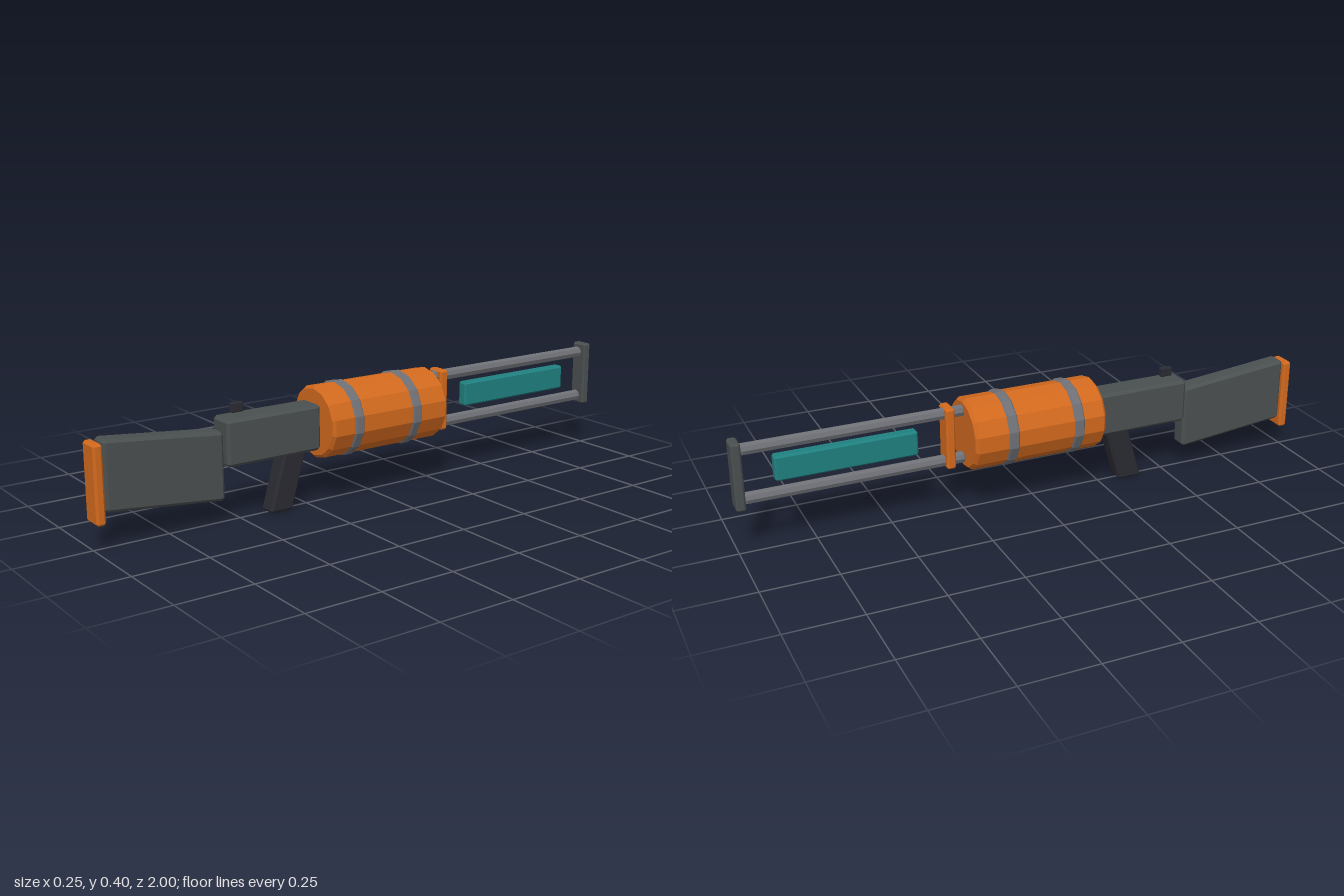
import * as THREE from 'three';
import { ConvexGeometry } from 'three/addons/geometries/ConvexGeometry.js';

const paint = (name, color) => {
  const m = new THREE.MeshStandardMaterial({ color, flatShading: true });
  m.name = name;
  return m;
};

// Box with chamfered edges; shear(y, z) may shift each corner by [dy, dz].
function chamferBox([x0, x1], [y0, y1], [z0, z1], c, shear = () => [0, 0]) {
  const half = [(x1 - x0) / 2, (y1 - y0) / 2, (z1 - z0) / 2];
  const mid = [(x0 + x1) / 2, (y0 + y1) / 2, (z0 + z1) / 2];
  const points = [];
  for (const sx of [-1, 1]) for (const sy of [-1, 1]) for (const sz of [-1, 1])
    for (let full = 0; full < 3; full++) {
      const [x, y, z] = [sx, sy, sz].map((s, i) => mid[i] + s * (half[i] - (i === full ? 0 : c)));
      const [dy, dz] = shear(y, z);
      points.push(new THREE.Vector3(x, y + dy, z + dz));
    }
  return new ConvexGeometry(points);
}

// Solid faceted rod along z with chamfered ends.
function rod(radius, z0, z1, sides, c, y) {
  const profile = [[0, z0], [radius - c, z0], [radius, z0 + c], [radius, z1 - c], [radius - c, z1], [0, z1]];
  return new THREE.LatheGeometry(profile.map(([r, z]) => new THREE.Vector2(r, z)), sides)
    .rotateX(Math.PI / 2).translate(0, y, 0);
}

export function createModel() {
  const orange = paint('orange', 0xd2691e);
  const gunmetal = paint('gunmetal', 0x4a4f50);
  const steel = paint('steel', 0x6e7076);
  const black = paint('black', 0x2a2a32);
  const teal = paint('teal', 0x208080);

  const model = new THREE.Group();
  const add = (name, geometry, material) => {
    const mesh = new THREE.Mesh(geometry, material);
    mesh.name = name;
    model.add(mesh);
  };

  // Central drum with two bands
  add('drum', rod(0.121, -0.246, 0.219, 14, 0.01, 0.272), orange);
  for (const [name, z] of [['frontBand', 0.119], ['rearBand', -0.114]])
    add(name, rod(0.126, z - 0.018, z + 0.018, 14, 0.005, 0.272), steel);

  // Receiver, grip and sight
  add('receiver', chamferBox([-0.047, 0.047], [0.188, 0.339], [0.219, 0.563], 0.01), gunmetal);
  add('grip', chamferBox([-0.031, 0.031], [0.003, 0.2], [0.32, 0.405], 0.008,
    (y) => [0, -0.29 * (y - 0.003)]), black);
  add('sight', chamferBox([-0.01, 0.01], [0.35, 0.381], [0.482, 0.525], 0.003), black);

  // Slanted stock and butt pad
  add('stock', chamferBox([-0.033, 0.033], [0.08, 0.303], [0.567, 0.967], 0.01,
    (y, z) => [0.1 * (z - 0.567), 0]), gunmetal);
  add('buttPad', chamferBox([-0.038, 0.038], [0.085, 0.334], [0.969, 1], 0.007), orange);

  // Twin rails with bracket and end block
  for (const [name, y] of [['upperRail', 0.355], ['lowerRail', 0.19]])
    add(name, rod(0.02, -0.968, -0.244, 8, 0.005, y), steel);
  add('bracket', chamferBox([-0.034, 0.034], [0.168, 0.379], [-0.314, -0.283], 0.006), orange);
  add('endBlock', chamferBox([-0.031, 0.031], [0.16, 0.387], [-1, -0.969], 0.006), gunmetal);

  // Glowing cell between the rails
  add('energyCell', chamferBox([-0.019, 0.019], [0.233, 0.317], [-0.87, -0.405], 0.006), teal);

  return model;
}
